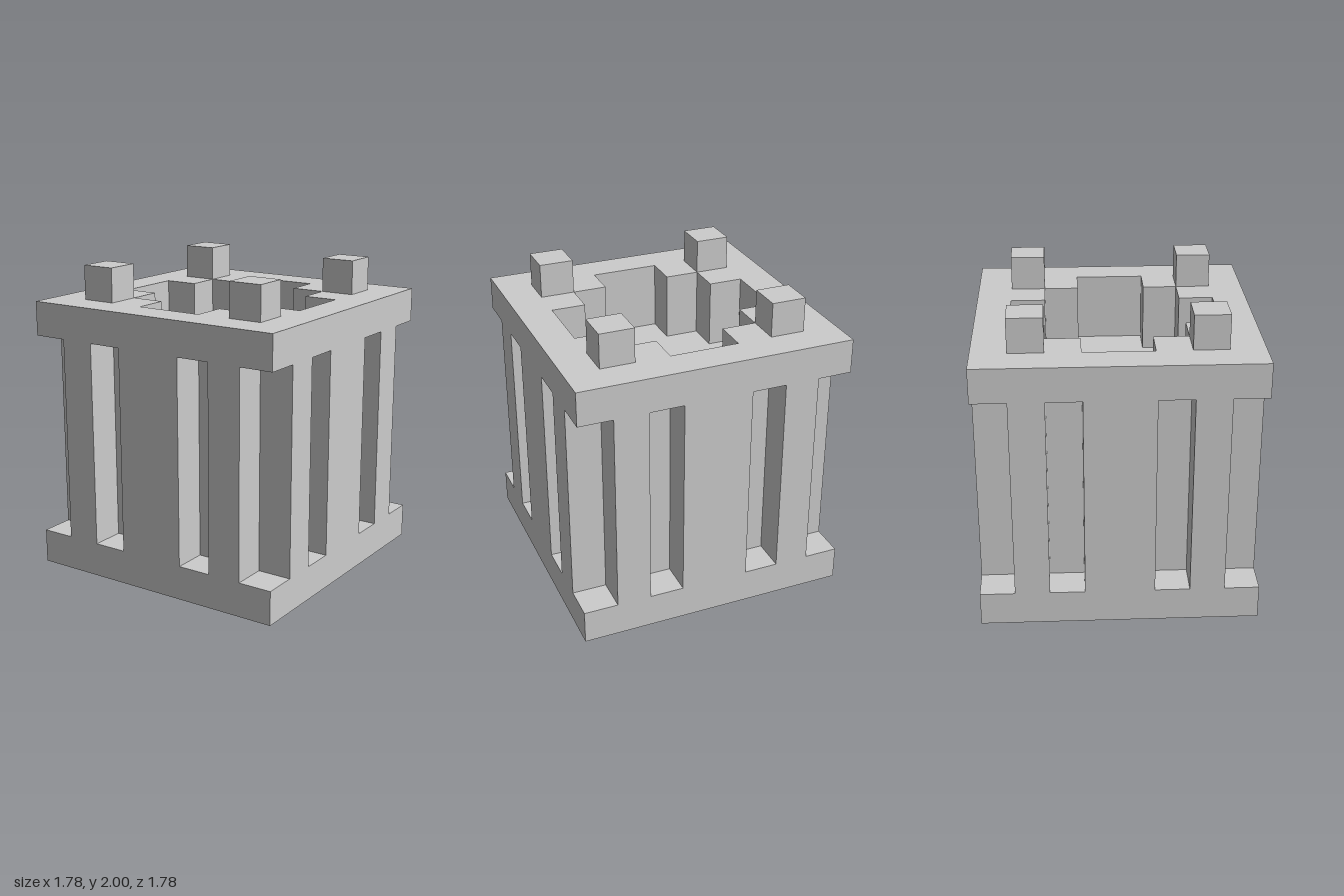
import * as THREE from 'three';

const U = 2 / 9; // one module cell
const material = new THREE.MeshStandardMaterial({ color: 0xcccccc, flatShading: true });

// Repeat quarter-outline points around the centre to close a four-fold outline.
function fourFold(points) {
  const all = [];
  for (let i = 0; i < 4; i++) {
    for (const [x, y] of points) {
      const p = [[x, y], [-y, x], [-x, -y], [y, -x]][i];
      all.push(new THREE.Vector2(p[0] * U, p[1] * U));
    }
  }
  return all;
}

// Extrude a plan outline upward between two heights, given in cells.
function prism(shape, y0, y1) {
  const geo = new THREE.ExtrudeGeometry(shape, { depth: (y1 - y0) * U, bevelEnabled: false });
  geo.rotateX(-Math.PI / 2);
  geo.translate(0, y0 * U, 0);
  return geo;
}

// Box from its centre and size, in cells.
function box(w, h, d, x, y, z) {
  return new THREE.BoxGeometry(w * U, h * U, d * U).translate(x * U, y * U, z * U);
}

export function createModel() {
  const group = new THREE.Group();
  const add = (geo, name, turn = 0) => {
    const mesh = new THREE.Mesh(geo, material);
    mesh.name = name;
    mesh.rotation.y = turn * Math.PI / 2;
    group.add(mesh);
  };

  // Stepped cross outline of the well
  const well = fourFold([[3, 1], [2, 1], [2, 2], [1, 2], [1, 3]]);

  // Base plate, and the core whose top is the floor of the well
  add(box(8, 1, 8, 0, 0.5, 0), 'basePlate');
  add(prism(new THREE.Shape(well), 1, 6), 'core');

  // Top plate with the well cut through it
  const top = new THREE.Shape(fourFold([[4, 4]]));
  top.holes.push(new THREE.Path(well));
  add(prism(top, 7, 8), 'topPlate');

  // Corner posts with ribs, wall panels and top studs, one set per quarter
  const corner = new THREE.Shape([
    [1, 2], [2, 2], [2, 1], [3, 1], [3, 2], [4, 2],
    [4, 3], [3, 3], [3, 4], [2, 4], [2, 3], [1, 3],
  ].map(([x, y]) => new THREE.Vector2(x * U, y * U)));
  const cornerGeo = prism(corner, 1, 7);
  const panelGeo = box(2, 6, 1, 0, 4, 3.5);
  const studGeo = box(1, 1, 1, 2.5, 8.5, 2.5);
  for (let i = 0; i < 4; i++) {
    add(cornerGeo, 'cornerPost', i);
    add(panelGeo, 'wallPanel', i);
    add(studGeo, 'stud', i);
  }
  return group;
}
